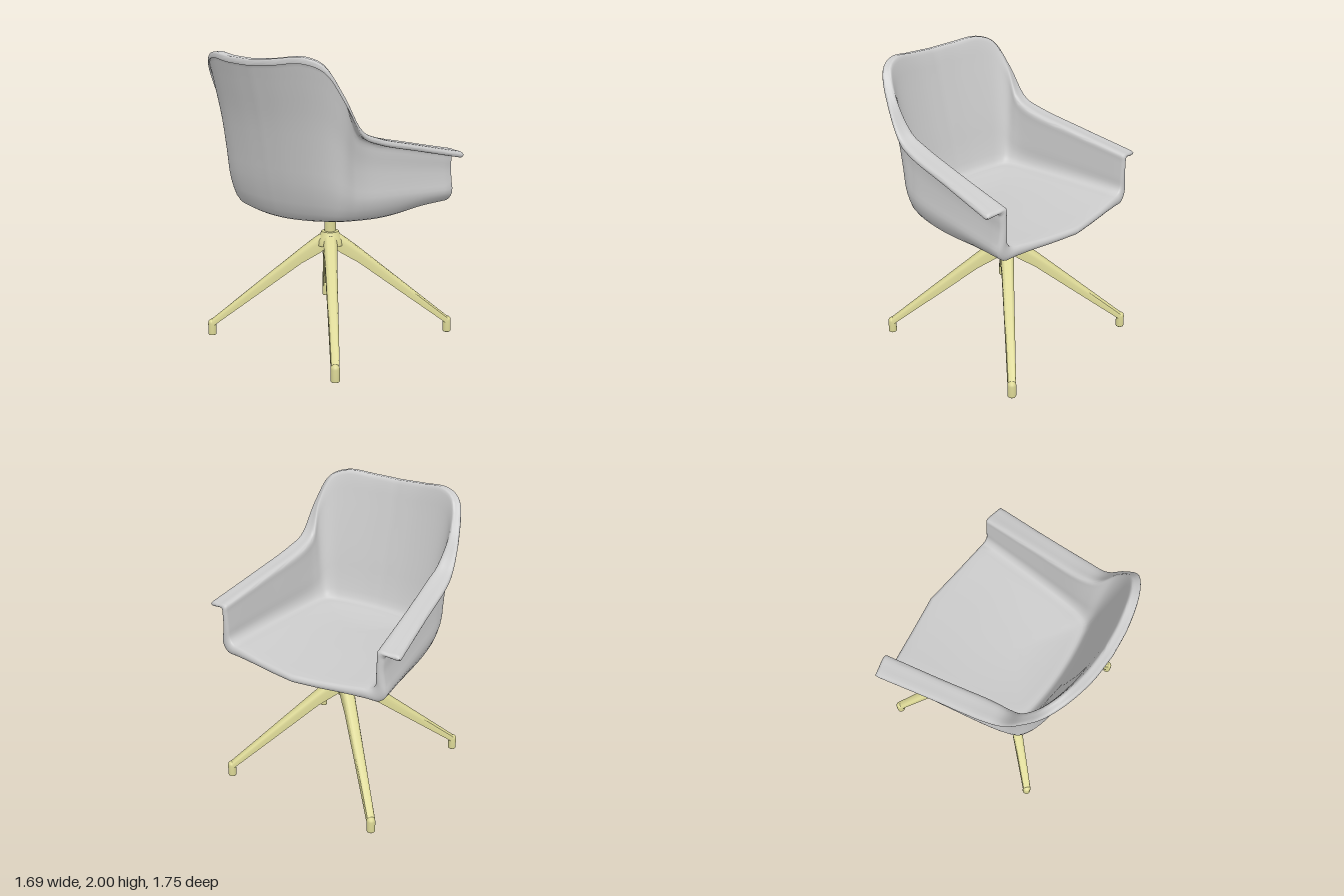
import * as THREE from 'three';
import { mergeVertices, toCreasedNormals } from 'three/addons/utils/BufferGeometryUtils.js';

const V = (x, y, z) => new THREE.Vector3(x, y, z);
const grey = new THREE.MeshStandardMaterial({ color: 0xcccccc, side: THREE.DoubleSide });
const metal = new THREE.MeshStandardMaterial({ color: 0xdcd896, side: THREE.DoubleSide });

function part(name, geometry, material, x = 0, y = 0, z = 0) {
  const mesh = new THREE.Mesh(geometry, material);
  mesh.name = name;
  mesh.position.set(x, y, z);
  return mesh;
}

// Skin a list of cross-sections that all have the same number of points
function loft(rows, crease) {
  const n = rows[0].length, index = [];
  for (let a = 0; a < rows.length - 1; a++) {
    for (let b = 0; b < n - 1; b++) {
      const p = a * n + b, q = p + n;
      index.push(p, p + 1, q, p + 1, q + 1, q);
    }
  }
  const geo = new THREE.BufferGeometry().setFromPoints(rows.flat());
  geo.setIndex(index);
  return toCreasedNormals(mergeVertices(geo, 1e-5), crease);
}

// Guide lines of one half of the shell, from the front of an arm to the middle of the back
const guide = pts => new THREE.CatmullRomCurve3(pts.map(p => V(...p)));
const spine = guide([[0, 1.02, 0.59], [0, 1.04, 0.2], [0, 1.045, -0.05], [0, 1.045, -0.09], [0, 1.045, -0.1],
  [0, 1.045, -0.105], [0, 1.045, -0.11], [0, 1.045, -0.115], [0, 1.045, -0.12]]);
const seatEdge = guide([[0.575, 1.06, 0.515], [0.53, 1.075, 0.1], [0.485, 1.085, -0.25], [0.46, 1.09, -0.36], [0.43, 1.09, -0.42],
  [0.38, 1.09, -0.445], [0.3, 1.09, -0.46], [0.15, 1.09, -0.475], [0, 1.09, -0.48]]);
const rimInside = guide([[0.585, 1.34, 0.515], [0.54, 1.425, 0.1], [0.5, 1.505, -0.25], [0.505, 1.57, -0.38], [0.53, 1.78, -0.495],
  [0.48, 1.955, -0.59], [0.38, 2, -0.64], [0.19, 1.985, -0.68], [0, 1.975, -0.695]]);
const rimOutside = guide([[0.735, 1.325, 0.485], [0.685, 1.41, 0.1], [0.645, 1.49, -0.25], [0.62, 1.55, -0.385], [0.588, 1.765, -0.52],
  [0.525, 1.945, -0.63], [0.405, 1.995, -0.695], [0.2, 1.98, -0.745], [0, 1.97, -0.76]]);

// Rib of the shell: seat middle, up the inside, over the rim, down the outside, back under the seat
function rib(t, side, full = 1, dz = 0) {
  const [c, b, r, f] = [spine, seatEdge, rimInside, rimOutside].map(g => g.getPoint(t));
  const out = V(f.x - r.x, 0, f.z - r.z);
  const width = out.length();
  out.normalize();
  const thick = Math.min(0.048, width * 0.8);
  const inner = [], outer = [];
  const lowEdge = b.clone().addScaledVector(out, 0.06);
  for (const k of [0, 0.3, 0.6, 0.82, 0.95]) {
    const p = c.clone().lerp(b, k);
    p.y = c.y + (b.y - c.y) * k * k;
    inner.push(p);
    const q = c.clone().lerp(lowEdge, k);
    q.y = 0.89 + 0.085 * THREE.MathUtils.smoothstep(Math.hypot(q.x, q.z), 0.27, 0.66);
    outer.push(q);
  }
  for (const k of [0.12, 0.35, 0.6, 0.82, 0.95]) {
    inner.push(b.clone().lerp(r, k));
    const low = Math.max(0, 1 - k * 1.6);
    const q = b.clone().lerp(r, k).addScaledVector(out, thick + 0.035 * low);
    q.y -= 0.035 + 0.03 * low;
    outer.push(q);
  }
  for (const k of [0.12, 0.5, 0.92]) {
    inner.push(r.clone().lerp(f, k));
    const q = r.clone().addScaledVector(out, thick).lerp(f, k);
    q.y -= 0.037;
    outer.push(q);
  }
  const tip = f.clone();
  tip.y -= 0.02;
  const N = 78;
  const pts = new THREE.CatmullRomCurve3([...inner, tip, ...outer.reverse()]).getPoints(N);
  return pts.map((p, i) => {
    const m = p.clone().add(pts[N - i]).multiplyScalar(0.5).lerp(p, full);
    return V(m.x * side, m.y, m.z + dz);
  });
}

function shellGeometry() {
  const steps = [];
  // Rounded front edge
  for (const a of [0, 0.25, 0.55, 0.8]) {
    steps.push([0, Math.sin(a * Math.PI / 2), 0.026 * Math.cos(a * Math.PI / 2)]);
  }
  for (let i = 0; i <= 48; i++) steps.push([i / 48, 1, 0]);
  const half = side => steps.map(([t, full, dz]) => rib(t, side, full, dz));
  return loft([...half(1), ...half(-1).reverse().slice(1)], 0.9);
}

// Tapered leg, a channel open underneath
function legGeometry() {
  const stations = [[0.02, 0.745, 0.05, 0.1], [0.07, 0.725, 0.048, 0.12], [0.12, 0.69, 0.046, 0.115], [0.2, 0.628, 0.042, 0.1],
    [0.5, 0.385, 0.035, 0.078], [0.835, 0.112, 0.028, 0.05]];
  const section = [[1, -1], [1, -0.4], [0.85, -0.14], [0.45, 0], [-0.45, 0], [-0.85, -0.14], [-1, -0.4], [-1, -1],
    [-0.65, -1], [-0.6, -0.5], [0.6, -0.5], [0.65, -1], [1, -1]];
  return loft(stations.map(([z, y, w, h]) => section.map(p => V(p[0] * w, y + p[1] * h, z))), 0.7);
}

export function createModel() {
  const model = new THREE.Group();
  model.name = 'swivelArmchair';
  model.position.z = 0.03;

  // Upholstered seat, arms and back in one piece
  const seat = new THREE.Group();
  seat.name = 'seat';
  seat.rotation.y = THREE.MathUtils.degToRad(123);
  seat.add(part('seatShell', shellGeometry(), grey, 0, 0, 0.016));
  model.add(seat);

  // Column and hub
  const base = new THREE.Group();
  base.name = 'base';
  base.add(part('column', new THREE.CylinderGeometry(0.04, 0.04, 0.22, 32), metal, 0, 0.8, 0));
  const hub = [[0, 0.59], [0.053, 0.59], [0.055, 0.64], [0.095, 0.655], [0.09, 0.69], [0.07, 0.725], [0.06, 0.75], [0.04, 0.752]];
  const hubGeo = new THREE.LatheGeometry(hub.map(p => new THREE.Vector2(...p)), 32);
  base.add(part('hub', toCreasedNormals(hubGeo, 0.7), metal));

  // Four legs with feet
  const legGeo = legGeometry();
  const footGeo = new THREE.LatheGeometry([[0, 0], [0.026, 0], [0.029, 0.004], [0.029, 0.085], [0.025, 0.1], [0.014, 0.11], [0, 0.113]]
    .map(p => new THREE.Vector2(...p)), 24);
  for (let i = 0; i < 4; i++) {
    const leg = new THREE.Group();
    leg.name = 'leg' + (i + 1);
    leg.rotation.y = THREE.MathUtils.degToRad(78 + 90 * i);
    leg.add(part('legChannel', legGeo, metal), part('foot', footGeo, metal, 0, 0, 0.835));
    base.add(leg);
  }
  model.add(base);

  const root = new THREE.Group();
  root.name = 'armchair';
  root.add(model);
  return root;
}
